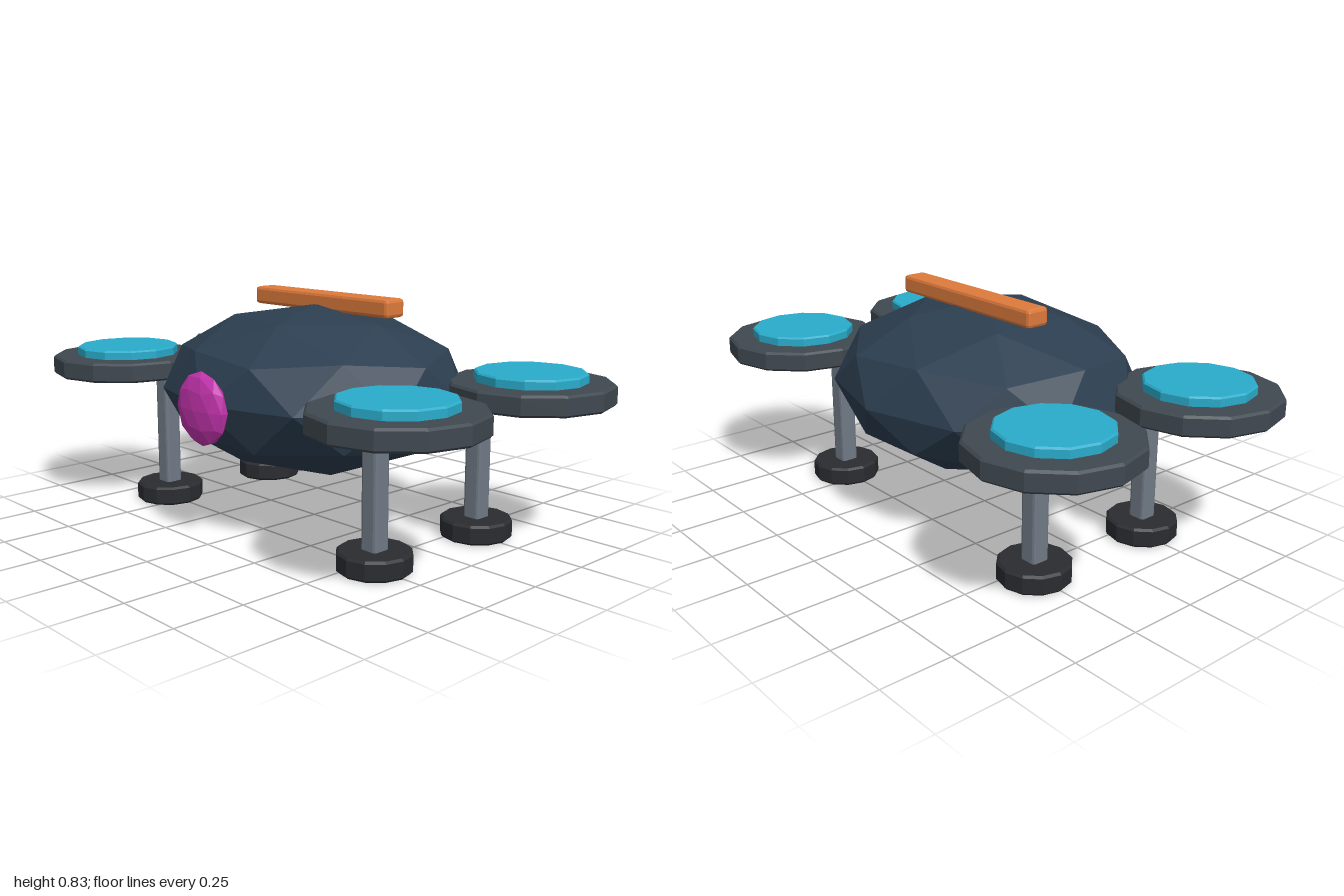
import * as THREE from 'three';
import { RoundedBoxGeometry } from 'three/addons/geometries/RoundedBoxGeometry.js';

const mat = (color) => new THREE.MeshStandardMaterial({ color, flatShading: true });

// Faceted ball with a vertex at the top and bottom, stretched to three radii
function facetedBall(rx, ry, rz) {
  const g = new THREE.IcosahedronGeometry(1, 1);
  g.rotateX(-Math.atan((1 + Math.sqrt(5)) / 2));
  g.rotateY(Math.PI / 2);
  g.scale(rx, ry, rz);
  return g;
}

// Twelve-sided disc with chamfered rims, from y0 to y1
function chamferedDisc(r, y0, y1, b) {
  const profile = [[0, y0], [r - b, y0], [r, y0 + b], [r, y1 - b], [r - b, y1], [0, y1]];
  return new THREE.LatheGeometry(profile.map(([x, y]) => new THREE.Vector2(x, y)), 12);
}

export function createModel() {
  const model = new THREE.Group();
  model.name = 'drone';

  const add = (parent, name, geometry, material, x, y, z) => {
    const mesh = new THREE.Mesh(geometry, material);
    mesh.name = name;
    mesh.position.set(x, y, z);
    parent.add(mesh);
    return mesh;
  };

  const dark = mat(0x3f4850);
  const metal = mat(0x707a86);
  const rubber = mat(0x2a2c30);
  const teal = mat(0x2aaccb);

  // Hull, front lens and top bar
  add(model, 'body', facetedBall(0.6, 0.3, 0.52), mat(0x2c3e50), 0, 0.49, 0);
  add(model, 'frontLens', facetedBall(0.128, 0.128, 0.041), mat(0xc233ac), 0, 0.478, 0.511);
  add(model, 'topBar', new RoundedBoxGeometry(0.69, 0.065, 0.09, 1, 0.012), mat(0xdd7a3c), 0, 0.798, -0.058);

  const rimGeo = chamferedDisc(0.285, 0.495, 0.567, 0.008);
  const discGeo = chamferedDisc(0.192, 0.555, 0.6, 0.006);
  const footGeo = chamferedDisc(0.127, 0, 0.07, 0.008);
  const legGeo = new RoundedBoxGeometry(0.066, 0.46, 0.066, 1, 0.01);
  const armGeo = new RoundedBoxGeometry(0.44, 0.06, 0.066, 1, 0.01);

  // One rotor, arm, leg and foot at each corner
  for (const sx of [1, -1]) {
    for (const sz of [1, -1]) {
      const corner = new THREE.Group();
      corner.name = (sz > 0 ? 'front' : 'back') + (sx > 0 ? 'Left' : 'Right') + 'Corner';
      model.add(corner);

      add(corner, 'rotorRim', rimGeo, dark, sx * 0.715, 0, sz * 0.33);
      add(corner, 'rotorDisc', discGeo, teal, sx * 0.715, 0, sz * 0.33);

      // Arm runs radially from the hull to the rotor
      const a = Math.atan2(0.33, 0.715);
      const arm = add(corner, 'arm', armGeo, metal, sx * 0.562 * Math.cos(a), 0.498, sz * 0.562 * Math.sin(a));
      arm.rotation.y = -sx * sz * a;

      add(corner, 'leg', legGeo, metal, sx * 0.56, 0.28, sz * 0.257);
      add(corner, 'foot', footGeo, rubber, sx * 0.56, 0, sz * 0.257);
    }
  }
  return model;
}
